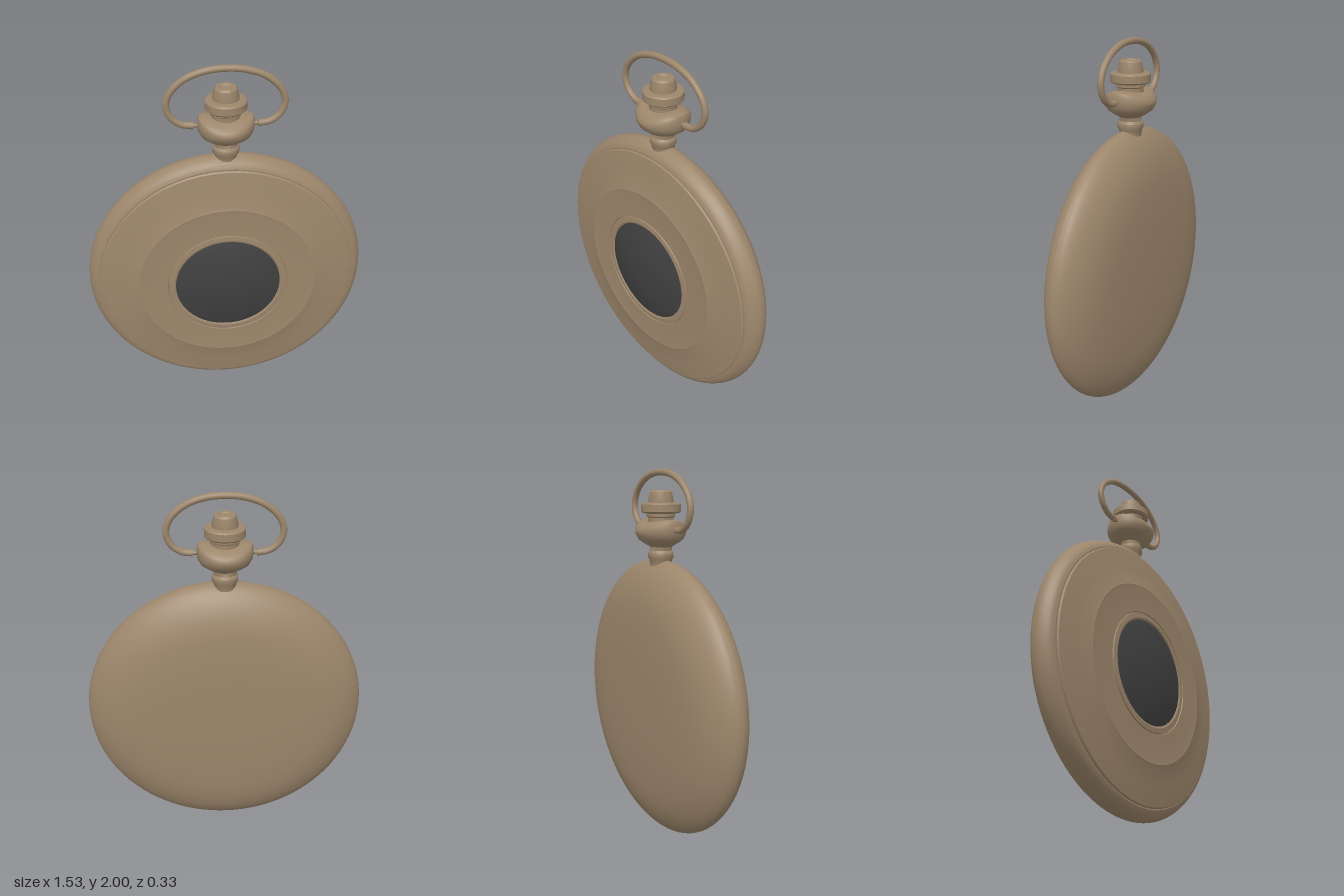
import * as THREE from 'three';
import { toCreasedNormals } from 'three/addons/utils/BufferGeometryUtils.js';

const CENTER_Y = 0.765;

export function createModel() {
  const model = new THREE.Group();
  model.name = 'pocketWatch';

  const brass = new THREE.MeshStandardMaterial({ color: 0x9c866b });
  brass.name = 'agedBrass';
  const glass = new THREE.MeshStandardMaterial({ color: 0x404040 });
  glass.name = 'darkGlass';

  const add = (name, geometry, material, parent = model) => {
    const mesh = new THREE.Mesh(geometry, material);
    mesh.name = name;
    parent.add(mesh);
    return mesh;
  };
  // Revolved part; profile is [radius, height] from bottom to top
  const turned = (profile, segments, crease = 0.5) => toCreasedNormals(
    new THREE.LatheGeometry(profile.map(([r, h]) => new THREE.Vector2(r, h)), segments), crease);

  // Watch body: revolved around z
  const body = new THREE.Group();
  body.name = 'watchBody';
  body.rotation.x = Math.PI / 2;
  body.position.y = CENTER_Y;
  model.add(body);

  // Rounded back and rim, closed by a narrow ledge under the lid
  const shell = new THREE.SplineCurve([
    [0, -0.168], [0.2, -0.166], [0.38, -0.159], [0.52, -0.145], [0.62, -0.12], [0.7, -0.08],
    [0.75, -0.035], [0.765, 0.005], [0.755, 0.04], [0.733, 0.068], [0.71, 0.08],
  ].map(([r, z]) => new THREE.Vector2(r, z))).getPoints(36).map((p) => [Math.max(p.x, 0), p.y]);
  add('caseShell', turned([...shell, [0.69, 0.078]], 96), brass, body);

  // Front lid: sloped outer ring, shallow step, flat ring and bezel around the window
  add('frontLid', turned([
    [0.704, 0.07], [0.704, 0.084], [0.698, 0.09], [0.6, 0.108], [0.5, 0.122], [0.49, 0.126],
    [0.475, 0.124], [0.335, 0.126], [0.333, 0.121], [0.327, 0.121], [0.325, 0.127],
    [0.3, 0.13], [0.291, 0.126], [0.285, 0.118],
  ], 64, 0.4), brass, body);

  // Domed window
  const dome = [];
  for (let i = 0; i <= 12; i++) {
    const r = 0.29 * (1 - i / 12);
    dome.push([r, 0.124 + 0.042 * (1 - (r / 0.29) ** 2)]);
  }
  add('windowGlass', turned(dome, 64), glass, body);

  // Neck and bulb; the bulb's top dips toward front and back
  const bulb = new THREE.LatheGeometry([
    [0, 1.5], [0.058, 1.5], [0.06, 1.53], [0.068, 1.542], [0.068, 1.568], [0.058, 1.58],
    [0.062, 1.6], [0.095, 1.618], [0.125, 1.638], [0.14, 1.665], [0.143, 1.69], [0.143, 1.725],
    [0.136, 1.738], [0.115, 1.745], [0.075, 1.742], [0.07, 1.73], [0, 1.73],
  ].map(([r, y]) => new THREE.Vector2(r, y)), 48);
  const pos = bulb.attributes.position;
  for (let i = 0; i < pos.count; i++) {
    const y = pos.getY(i), z = pos.getZ(i);
    const lift = THREE.MathUtils.clamp((y - 1.67) / 0.055, 0, 1);
    pos.setY(i, y - 0.042 * lift * (z / 0.143) ** 2);
    if (y > 1.6) pos.setZ(i, z * 0.93);
  }
  add('neckAndBulb', toCreasedNormals(bulb, 0.7), brass);

  // Winding crown with collar and dimpled button
  add('windingCrown', turned([
    [0.068, 1.71], [0.068, 1.752], [0.076, 1.758], [0.076, 1.772], [0.098, 1.776],
    [0.105, 1.783], [0.105, 1.82], [0.098, 1.827], [0.066, 1.829], [0.066, 1.845],
    [0.058, 1.882], [0.05, 1.891], [0.034, 1.891], [0.026, 1.884], [0, 1.884],
  ], 40), brass);

  // Hanging bow
  const half = [[0.165, 1.692], [0.215, 1.698], [0.268, 1.735], [0.293, 1.8],
    [0.272, 1.868], [0.2, 1.935], [0.105, 1.972]];
  const points = [...half.map(([x, y]) => [-x, y]), [0, 1.983], ...half.slice().reverse()];
  const path = new THREE.CatmullRomCurve3(points.map(([x, y]) => new THREE.Vector3(x, y, 0)));
  add('bow', new THREE.TubeGeometry(path, 96, 0.017, 14), brass);

  // Rounded bow ends and the thin pins that enter the bulb
  for (const [side, x] of [['left', 1], ['right', -1]]) {
    const end = add(side + 'BowEnd', new THREE.CylinderGeometry(0.019, 0.019, 0.014, 16), brass);
    end.rotation.z = Math.PI / 2;
    end.position.set(x * 0.17, 1.692, 0);
    const pin = add(side + 'BowPin', new THREE.CylinderGeometry(0.01, 0.01, 0.08, 12), brass);
    pin.rotation.z = Math.PI / 2;
    pin.position.set(x * 0.145, 1.692, 0);
  }
  return model;
}
